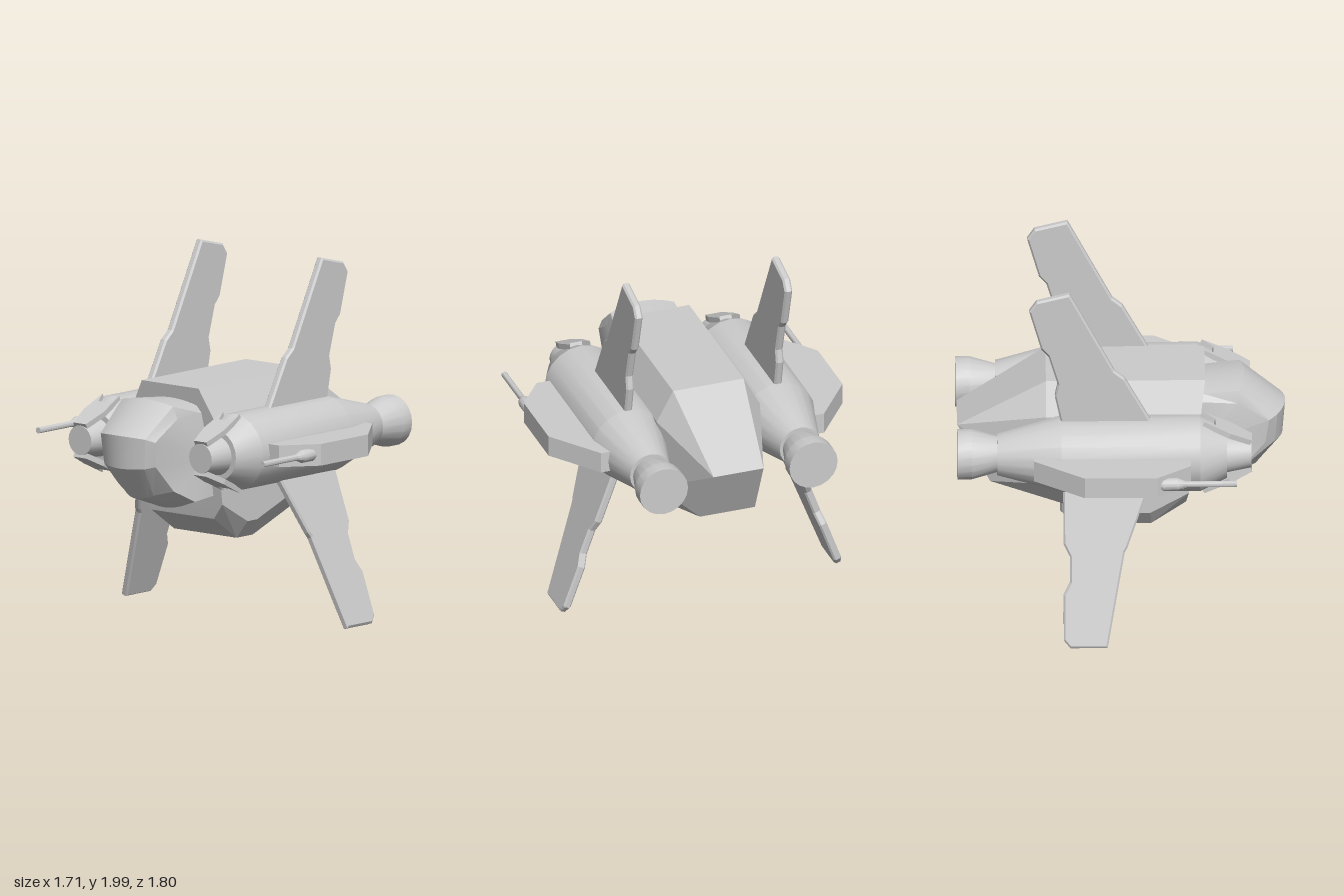
import * as THREE from 'three';
import { toCreasedNormals } from 'three/addons/utils/BufferGeometryUtils.js';
import { ConvexGeometry } from 'three/addons/geometries/ConvexGeometry.js';

const material = new THREE.MeshStandardMaterial({ color: 0xcccccc });
const AXIS_X = 0.435, AXIS_Y = 1.017;

function part(name, geometry, crease = 0.35) {
  const mesh = new THREE.Mesh(toCreasedNormals(geometry, crease), material);
  mesh.name = name;
  return mesh;
}

// Flat plate centred on its own thickness, with a small chamfer
function plate(points, thickness, bevel = 0) {
  const shape = new THREE.Shape(points.map(([a, b]) => new THREE.Vector2(a, b)));
  const geometry = new THREE.ExtrudeGeometry(shape, {
    depth: thickness - 2 * bevel, bevelEnabled: bevel > 0, bevelSegments: 1,
    bevelSize: bevel, bevelThickness: bevel, bevelOffset: -bevel,
  });
  return geometry.translate(0, 0, -thickness / 2 + bevel);
}

// Solid of revolution along z, from [radius, z] pairs running back to front
function turned(profile, segments) {
  return new THREE.LatheGeometry(profile.map(([r, z]) => new THREE.Vector2(r, z)), segments)
    .rotateX(Math.PI / 2);
}

// Faceted central hull: each entry is [half width, y, z]
function hull() {
  const corners = [
    [0.205, 1.345, 0.46], [0.205, 1.345, -0.41],
    [0.3, 1.17, 0.435], [0.3, 1.17, -0.41],
    [0.3, 0.7, 0.37], [0.3, 0.58, 0.16], [0.3, 0.58, 0.08], [0.3, 0.76, -0.41],
    [0.225, 0.61, 0.355], [0.225, 0.48, 0.165], [0.225, 0.48, 0.03],
    [0.16, 0.71, -0.715], [0.145, 1.05, -0.895],
  ];
  const points = corners.flatMap(([x, y, z]) =>
    [new THREE.Vector3(x, y, z), new THREE.Vector3(-x, y, z)]);
  return part('hull', new ConvexGeometry(points), 0.1);
}

// Cockpit: bowed canopy strip wrapped around the nose, with bevelled cheeks
function cockpit() {
  // centre y, z; strip half width; cheek x, y, z
  const rows = [
    [1.26, 0.3, 0.18, 0.21, 1.2, 0.3],
    [1.272, 0.455, 0.18, 0.21, 1.21, 0.455],
    [1.295, 0.675, 0.185, 0.208, 1.2, 0.64],
    [1.12, 0.9, 0.16, 0.195, 1.09, 0.81],
    [0.935, 0.885, 0.145, 0.18, 0.95, 0.79],
    [0.75, 0.745, 0.1, 0.2, 0.8, 0.66],
    [0.67, 0.51, 0.15, 0.24, 0.73, 0.53],
    [0.7, 0.36, 0.15, 0.24, 0.75, 0.3],
  ];
  const steps = 10, positions = [], index = [];
  const n = steps + 3;
  for (const [y, z, w, cx, cy, cz] of rows) {
    positions.push(-cx, cy, cz);
    for (let i = 0; i <= steps; i++) {
      const t = (i / steps) * 2 - 1, k = 1 - 0.09 * t * t;
      positions.push(w * t, 1 + (y - 1) * k, 0.4 + (z - 0.4) * k);
    }
    positions.push(cx, cy, cz);
  }
  for (let r = 0; r < rows.length - 1; r++) {
    for (let i = 0; i < n - 1; i++) {
      const a = r * n + i, b = a + n;
      index.push(a, b, a + 1, a + 1, b, b + 1);
    }
  }
  // Side panels fan out from a middle point
  const left = positions.length / 3, right = left + 1;
  positions.push(0.24, 0.95, 0.4, -0.24, 0.95, 0.4);
  for (let r = 0; r < rows.length - 1; r++) {
    index.push(left, r * n + n - 1, (r + 1) * n + n - 1);
    index.push(right, (r + 1) * n, r * n);
  }
  const geometry = new THREE.BufferGeometry();
  geometry.setAttribute('position', new THREE.Float32BufferAttribute(positions, 3));
  geometry.setIndex(index);
  return part('cockpit', geometry, 0.3);
}

// Fin outlines as [z, y]
const UPPER = [
  [0.25, 1.05], [0.155, 1.23], [0.015, 1.485], [-0.04, 1.53], [-0.285, 2.0], [-0.465, 1.955],
  [-0.505, 1.895], [-0.44, 1.665], [-0.4, 1.62], [-0.35, 1.45], [-0.365, 1.375],
  [-0.335, 1.23], [-0.3, 1.05],
];
const LOWER = [
  [0.18, 0.95], [0.14, 0.817], [0.03, 0.53], [0.015, 0.505], [-0.08, 0.01], [-0.285, 0.01],
  [-0.32, 0.05], [-0.32, 0.285], [-0.285, 0.35], [-0.285, 0.485], [-0.32, 0.55], [-0.32, 0.95],
];

function fin(name, outline, tilt) {
  const points = outline.map(([z, y]) => [z, (y - AXIS_Y) / Math.cos(tilt)]);
  const mesh = part(name, plate(points, 0.045, 0.01).rotateY(-Math.PI / 2), 0.1);
  mesh.rotation.z = tilt;
  return mesh;
}

// Everything on one side, measured from the engine axis; s is +1 left, -1 right
function engineSide(s) {
  const side = new THREE.Group();
  side.name = s > 0 ? 'leftEngine' : 'rightEngine';
  side.position.set(s * AXIS_X, AXIS_Y, 0);

  side.add(part('engineBody', turned([
    [0, -0.68], [0.118, -0.68], [0.212, -0.33], [0.212, 0.43], [0.14, 0.575], [0, 0.575],
  ], 20)));
  side.add(part('engineNozzle', turned([
    [0, -0.898], [0.14, -0.898], [0.14, -0.82], [0.1, -0.68], [0, -0.66],
  ], 20)));
  side.add(part('engineNose', turned([[0, 0.56], [0.112, 0.56], [0.082, 0.71], [0, 0.71]], 20)));

  // Notched plates above and below the nose
  const notched = [
    [-0.06, 0], [-0.035, 0.07], [0.035, 0.07], [0.06, 0],
    [0.072, 0.16], [0.045, 0.29], [-0.045, 0.29], [-0.072, 0.16],
  ];
  for (const turn of [0, Math.PI]) {
    const geometry = plate(notched, 0.03).rotateX(Math.PI / 2 + 0.44)
      .translate(0, 0.205, 0.445).rotateZ(turn);
    side.add(part('nosePlate', geometry, 0.1));
  }

  side.add(fin('upperFin', UPPER, 0));
  side.add(fin('lowerFin', LOWER, s * 0.349));

  // Side wing and its gun
  const wing = [
    [0.15, -0.48], [0.213, -0.48], [0.42, -0.205], [0.42, 0.19], [0.278, 0.375], [0.15, 0.375],
  ].map(([x, z]) => [s * x, z]);
  side.add(part('sideWing', plate(wing, 0.12).rotateX(Math.PI / 2), 0.1));
  const gun = part('gun', turned([
    [0, 0.18], [0.025, 0.19], [0.036, 0.22], [0.036, 0.3], [0.017, 0.345], [0.017, 0.625], [0, 0.625],
  ], 12), 0.6);
  gun.position.x = s * 0.375;
  side.add(gun);
  return side;
}

export function createModel() {
  const model = new THREE.Group();
  model.name = 'spacecraft';
  model.add(hull(), cockpit(), engineSide(1), engineSide(-1));
  return model;
}
